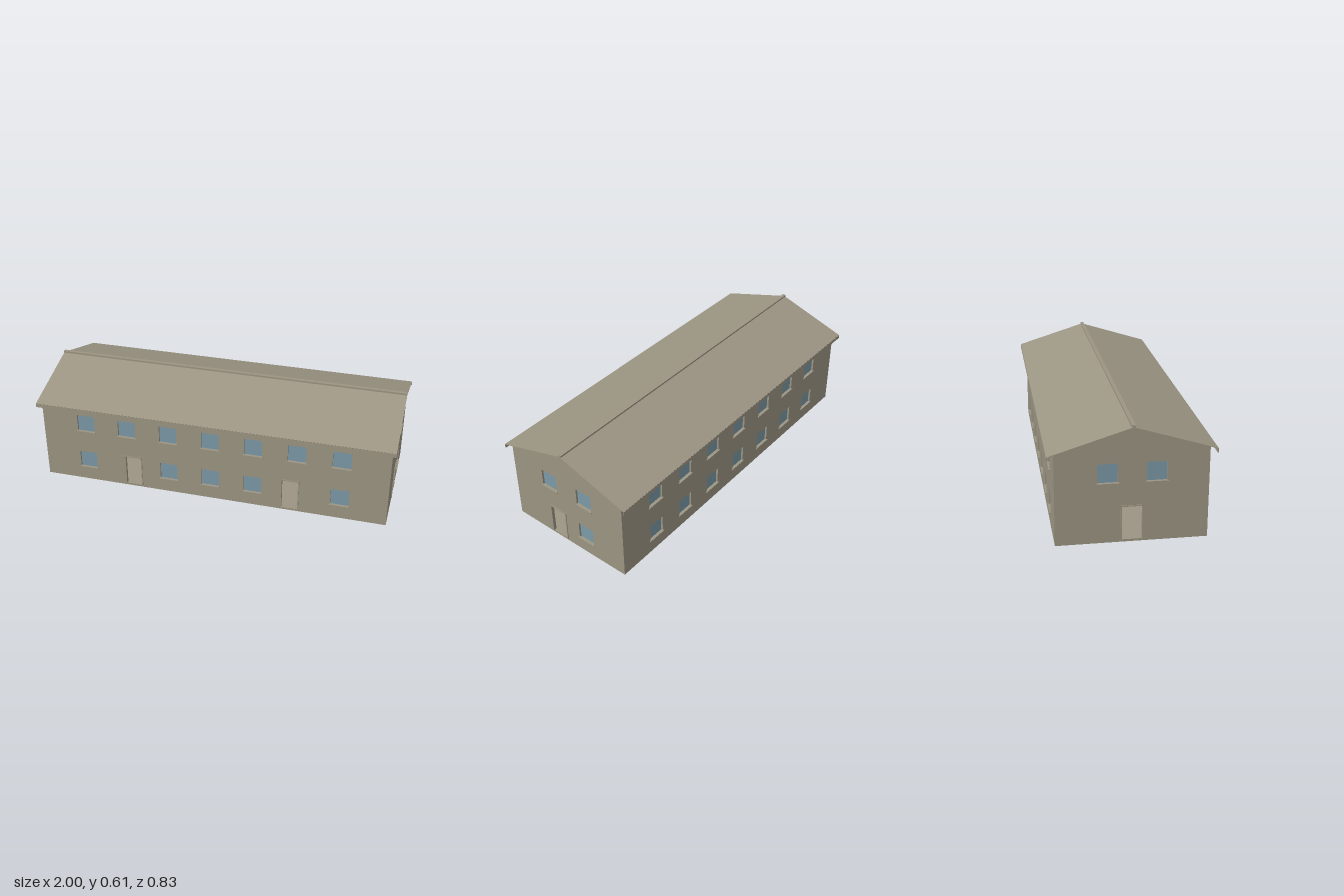
import * as THREE from 'three';

const HALF_X = 0.98, HALF_Z = 0.378, EAVE = 0.48, RIDGE = 0.597, T = 0.014, FLOOR = 0.012;

export function createModel() {
  const stone = new THREE.MeshStandardMaterial({ color: 0x9c9583, side: THREE.DoubleSide });
  stone.name = 'stone';
  const glass = new THREE.MeshStandardMaterial({ color: 0x7a99a7, side: THREE.DoubleSide });
  glass.name = 'glass';

  const model = new THREE.Group();
  model.name = 'longHouse';

  function box(parent, name, material, w, h, d, x, y, z) {
    const mesh = new THREE.Mesh(new THREE.BoxGeometry(w, h, d), material);
    mesh.name = name;
    mesh.position.set(x, y, z);
    parent.add(mesh);
    return mesh;
  }

  const window = (u, y) => ({ u, y, w: 0.1, h: 0.1, door: false });
  const door = (u, w) => ({ u, y: FLOOR, w, h: 0.176, door: true });

  // Wall with cut openings; local z = 0 is its outer face
  function wall(name, outline, openings) {
    const group = new THREE.Group();
    group.name = name;
    const shape = new THREE.Shape(outline.map(([x, y]) => new THREE.Vector2(x, y)));
    for (const { u, y, w, h } of openings) {
      const a = u - w / 2, b = u + w / 2;
      shape.holes.push(new THREE.Path([
        new THREE.Vector2(a, y), new THREE.Vector2(a, y + h),
        new THREE.Vector2(b, y + h), new THREE.Vector2(b, y),
      ]));
    }
    const geometry = new THREE.ExtrudeGeometry(shape, { depth: T, bevelEnabled: false });
    const mesh = new THREE.Mesh(geometry.translate(0, 0, -T), stone);
    mesh.name = name + 'Panel';
    group.add(mesh);

    for (const { u, y, w, h, door } of openings) {
      if (door) {
        // Open doorway with a raised surround
        const f = 0.006;
        for (const s of [-1, 1]) {
          box(group, 'doorJamb', stone, f, h, 0.004, u + s * (w + f) / 2, y + h / 2, 0.002);
        }
        box(group, 'doorHead', stone, w + 2 * f, f, 0.004, u, y + h + f / 2, 0.002);
      } else {
        box(group, 'windowPane', glass, w, h, 0.003, u, y + h / 2, -T + 0.0015);
        box(group, 'windowSill', stone, w + 0.012, 0.005, 0.007 + T / 2, u, y - 0.0015, 0.0035 - T / 4);
      }
    }
    model.add(group);
    return group;
  }

  // Long walls
  const L = HALF_X - T;
  const long = [[-L, 0], [L, 0], [L, EAVE], [-L, EAVE]];
  const columns = [-3, -2, -1, 0, 1, 2, 3];
  const upper = columns.map((i) => window(i * 0.241, 0.315));
  const lower = columns.map((i) => window(i * 0.241, 0.08));
  const frontLower = columns.map((i) =>
    Math.abs(i) === 2 ? door(Math.sign(i) * 0.45, 0.09) : window(i * 0.241, 0.08));
  wall('frontWall', long, [...upper, ...frontLower]).position.z = HALF_Z;
  const back = wall('backWall', long, [...upper, ...lower]);
  back.position.z = -HALF_Z;
  back.rotation.y = Math.PI;

  // Gable walls
  const gable = [[-HALF_Z, 0], [HALF_Z, 0], [HALF_Z, EAVE], [0, RIDGE], [-HALF_Z, EAVE]];
  const gableUpper = [window(-0.12, 0.315), window(0.12, 0.315)];
  const gableA = wall('leftGable', gable, [...gableUpper, door(-0.075, 0.1), window(0.12, 0.08)]);
  gableA.position.x = HALF_X;
  gableA.rotation.y = Math.PI / 2;
  const gableB = wall('rightGable', gable, [...gableUpper, door(0, 0.1)]);
  gableB.position.x = -HALF_X;
  gableB.rotation.y = -Math.PI / 2;

  // Floor slab
  box(model, 'floor', stone, 2 * L, FLOOR, 2 * (HALF_Z - T), 0, FLOOR / 2, 0);

  // Thin roof slopes with eave boards, capped along the ridge
  const top = 0.601, edgeY = 0.473, edgeZ = 0.412;
  const slope = Math.hypot(edgeZ, top - edgeY);
  const pitch = Math.atan2(top - edgeY, edgeZ);
  for (const s of [-1, 1]) {
    const roof = box(model, s > 0 ? 'frontRoof' : 'backRoof', stone, 2, 0.002, slope,
      0, (top + edgeY) / 2, s * edgeZ / 2);
    roof.rotation.x = s * pitch;
    box(model, s > 0 ? 'frontEaveBoard' : 'backEaveBoard', stone, 2, 0.02, 0.005, 0, 0.462, s * 0.4105);
  }
  box(model, 'ridgeCap', stone, 2, 0.01, 0.02, 0, 0.607, 0);

  return model;
}
